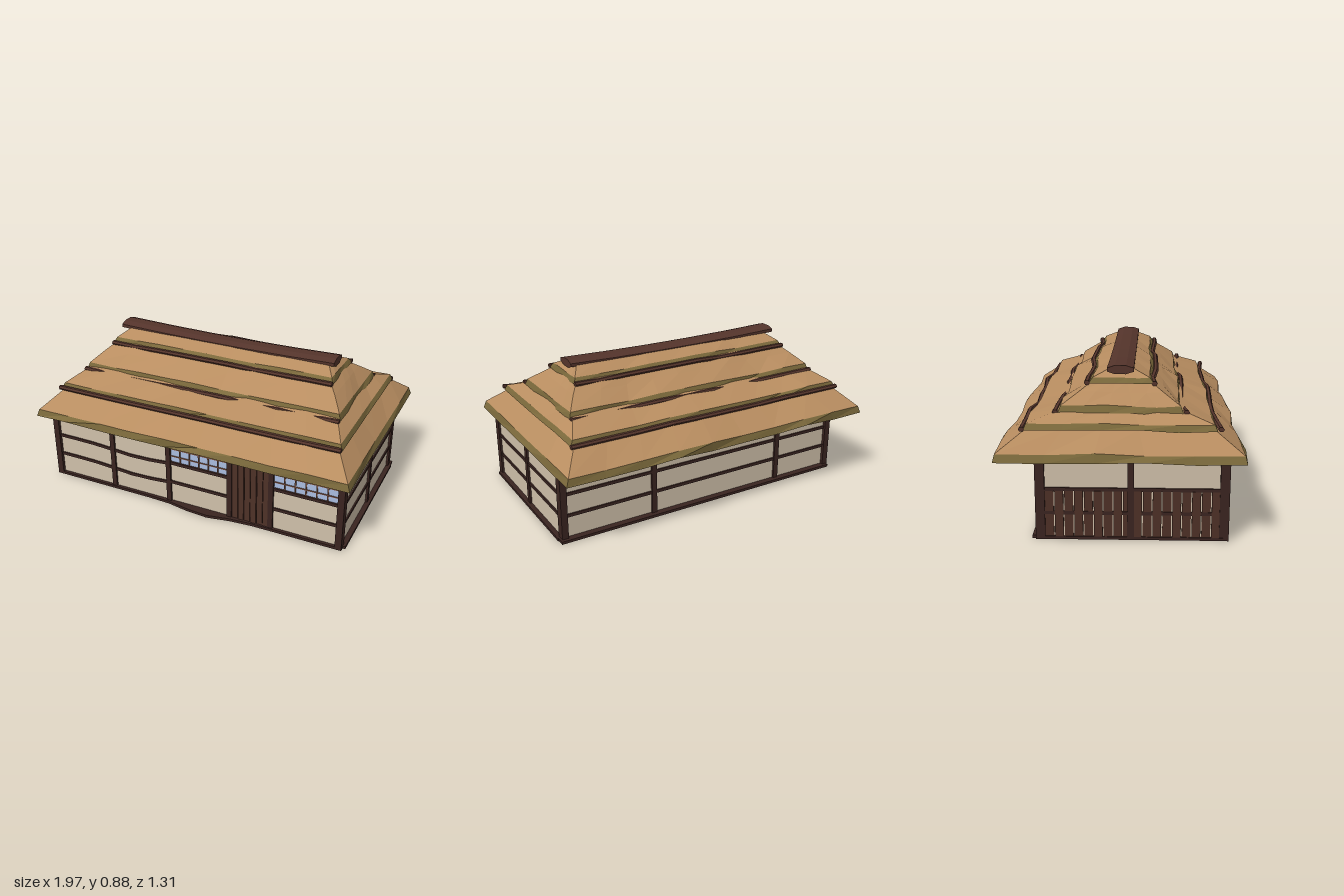
import * as THREE from 'three';

const mat = (color) => new THREE.MeshStandardMaterial({ color, flatShading: true, side: THREE.DoubleSide });

const ROOF_TIERS = [ // rings from underside to top: [half x, half z, y, waviness]
  [[0, 0, 0.445, 0], [0.98, 0.64, 0.43, 1], [0.965, 0.63, 0.472, 0.7], [0.86, 0.48, 0.58, 0.3]],
  [[0.8, 0.4, 0.57, 0], [0.885, 0.495, 0.575, 0.7], [0.87, 0.482, 0.606, 0.5], [0.79, 0.31, 0.665, 0.3]],
  [[0.72, 0.24, 0.65, 0], [0.812, 0.325, 0.645, 0.8], [0.8, 0.31, 0.685, 0.6], [0.74, 0.22, 0.745, 0.4], [0.69, 0.155, 0.79, 0.2]],
  [[0.62, 0.1, 0.78, 0], [0.71, 0.172, 0.782, 0.7], [0.695, 0.15, 0.812, 0.5], [0.64, 0.055, 0.855, 0]],
];

// Hand-laid unevenness along a length
const wave = (t, seed) => 0.011 * Math.sin(t * 7 + seed * 2.3) + 0.007 * Math.sin(t * 15 + seed * 4.1);

// One rectangular ring of points, running anticlockwise seen from above
function ring([hx, hz, y, amp], seed) {
  const corners = [[-1, 1], [1, 1], [1, -1], [-1, -1]];
  const points = [];
  corners.forEach(([ax, az], side) => {
    const [bx, bz] = corners[(side + 1) % 4];
    const n = side % 2 ? 5 : 9;
    for (let i = 0; i < n; i++) {
      const x = THREE.MathUtils.lerp(ax, bx, i / n) * hx;
      const z = THREE.MathUtils.lerp(az, bz, i / n) * hz;
      const t = side % 2 ? z : x;
      const w = i ? amp * wave(t, seed + side) : 0;
      points.push([x + (side % 2 ? ax * w * 0.5 : 0), y + w * 0.9, z + (side % 2 ? 0 : az * w)]);
    }
  });
  return points;
}

// Faceted band between two rings
function band(lower, upper) {
  const pos = [];
  lower.forEach((a, i) => {
    const j = (i + 1) % lower.length;
    pos.push(...a, ...lower[j], ...upper[j], ...a, ...upper[j], ...upper[i]);
  });
  const geometry = new THREE.BufferGeometry();
  geometry.setAttribute('position', new THREE.Float32BufferAttribute(pos, 3));
  geometry.computeVertexNormals();
  return geometry;
}

// Move every vertex by a rule
function bend(geometry, rule) {
  const p = geometry.attributes.position;
  const v = new THREE.Vector3();
  for (let i = 0; i < p.count; i++) {
    rule(v.fromBufferAttribute(p, i));
    p.setXYZ(i, v.x, v.y, v.z);
  }
  geometry.computeVertexNormals();
  return geometry;
}

export function createModel() {
  const house = new THREE.Group();
  house.name = 'thatchedHouse';
  const thatch = mat(0xb88d60), thatchEdge = mat(0x7c6a3c), underside = mat(0x6a5238);
  const timber = mat(0x3a2420), plank = mat(0x4e3127), ridgeWood = mat(0x54342b);
  const plaster = mat(0xd0c0aa), paper = mat(0xaabde0), lattice = mat(0x7a5140);

  const add = (name, geometry, material, parent = house) => {
    const mesh = new THREE.Mesh(geometry, material);
    mesh.name = name;
    parent.add(mesh);
    return mesh;
  };
  // Box given by its extents
  const box = (name, material, x0, x1, y0, y1, z0, z1, parent = house) => {
    const g = new THREE.BoxGeometry(x1 - x0, y1 - y0, z1 - z0);
    g.translate((x0 + x1) / 2, (y0 + y1) / 2, (z0 + z1) / 2);
    return add(name, g, material, parent);
  };
  const group = (name) => {
    const g = new THREE.Group();
    g.name = name;
    house.add(g);
    return g;
  };

  const L = -0.908, R = 0.918, F = 0.537, B = -0.412, TOP = 0.45;

  // Plaster walls
  const walls = group('walls');
  const t = 0.006;
  box('backWall', plaster, L, R, 0, TOP, B - t, B + t, walls);
  box('rightEndWall', plaster, L - t, L + t, 0, TOP, B, F, walls);
  box('leftEndWall', plaster, R - t, R + t, 0, TOP, B, F, walls);
  box('frontWall', plaster, L, -0.13, 0, TOP, F - t, F + t, walls);
  box('wallBelowWindow', plaster, -0.13, 0.27, 0, 0.27, F - t, F + t, walls);
  box('wallBelowWindow', plaster, 0.51, R, 0, 0.27, F - t, F + t, walls);

  // Posts
  const posts = group('posts');
  const post = (x, z, hx, hz) => box('post', timber, x - hx, x + hx, 0, TOP, z - hz, z + hz, posts);
  for (const x of [L, R]) {
    for (const z of [F, B]) post(x, z, 0.019, 0.025);
    post(x, 0.055, 0.018, 0.017);
  }
  for (const x of [-0.51, -0.13, 0.262, 0.515]) post(x, F, 0.015, 0.018);
  for (const x of [-0.51, 0.36]) post(x, B, 0.016, 0.018);

  // Rails at two heights, slightly crooked on the front left bays
  const rails = group('rails');
  const rail = (y, x0, x1, z, crook = 0) => {
    const g = new THREE.BoxGeometry(x1 - x0, 0.018, 0.028, 6, 1, 1);
    g.translate((x0 + x1) / 2, y, z);
    add('rail', bend(g, (v) => { v.y -= crook * Math.exp(-(((v.x + 0.35) / 0.2) ** 2)); }), timber, rails);
  };
  for (const y of [0.145, 0.273]) {
    rail(y, L, -0.13, F, 0.02);
    rail(y, -0.13, 0.26, F);
    rail(y, 0.515, R, F);
    rail(y, L, R, B);
    for (const x of [L, R]) box('endRail', timber, x - 0.014, x + 0.014, y - 0.009, y + 0.009, B, F, rails);
  }

  // Ground sills, the front one bulging out near the door
  const sills = group('sills');
  const sill = new THREE.BoxGeometry(R - L + 0.04, 0.016, 0.05, 14, 1, 1);
  sill.translate((L + R) / 2, 0.008, F);
  add('frontSill', bend(sill, (v) => {
    if (v.z > F) v.z += 0.04 * Math.exp(-(((v.x - 0.1) / 0.16) ** 2));
  }), timber, sills);
  box('backSill', timber, L - 0.01, R + 0.03, 0, 0.016, B - 0.045, B + 0.02, sills);
  box('rightEndSill', timber, L - 0.018, L + 0.02, 0, 0.016, B, F, sills);
  box('leftEndSill', timber, R - 0.02, R + 0.035, 0, 0.016, B, F, sills);

  // Plank door
  const door = group('door');
  box('doorBacking', timber, 0.27, 0.51, 0.01, TOP, F - 0.01, F + 0.004, door);
  for (let i = 0; i < 6; i++) {
    const x = 0.279 + i * 0.038;
    box('doorPlank', plank, x, x + 0.034, 0.015, TOP, F - 0.014, F + 0.012 + (i % 2) * 0.003, door);
  }

  // Lattice windows
  for (const [x0, x1] of [[-0.115, 0.247], [0.53, 0.9]]) {
    const win = group('window');
    box('windowPaper', paper, x0, x1, 0.275, TOP, F - 0.003, F + 0.003, win);
    for (let i = 1; i < 6; i++) {
      const x = x0 + ((x1 - x0) * i) / 6;
      box('verticalBar', lattice, x - 0.0035, x + 0.0035, 0.275, TOP, F - 0.009, F + 0.009, win);
    }
    for (const y of [0.318, 0.365, 0.412]) box('crossBar', lattice, x0, x1, y - 0.003, y + 0.003, F - 0.008, F + 0.008, win);
  }

  // Boarded lower half of one end wall
  const boards = group('endBoards');
  for (let i = 0; i < 18; i++) {
    const z = B + 0.025 + i * 0.0505;
    box('endBoard', plank, L - 0.012 - (i % 2) * 0.003, L - 0.004, 0.012, 0.265, z, z + 0.045, boards);
  }

  // Thatched roof in four overlapping tiers
  const roof = group('roof');
  ROOF_TIERS.forEach((rows, k) => {
    const rings = rows.map((row, i) => ring(row, k * 3 + i * 0.35));
    for (let i = 0; i < rings.length - 1; i++) {
      const name = ['tierUnderside', 'tierEdge'][i] || 'tierSlope';
      const material = [k ? thatchEdge : underside, thatchEdge][i] || thatch;
      add(name, band(rings[i], rings[i + 1]), material, roof);
    }
    if (!k) return;
    // Wooden battens under the front and back edges
    const [hx, hz, y] = rows[1];
    for (const s of [1, -1]) {
      const g = new THREE.CylinderGeometry(0.016, 0.016, hx * 2, 6, 9);
      g.rotateZ(Math.PI / 2);
      const seed = k * 3 + 0.35 + (s > 0 ? 0 : 2);
      add('batten', bend(g, (v) => {
        const w = 0.8 * wave(v.x, seed);
        v.y = v.y * 0.85 + y + 0.003 + w * 0.7;
        v.z += s * (hz + 0.006 + w);
      }), ridgeWood, roof);
    }
  });

  // Sagging eight-sided ridge log
  const ridge = new THREE.CylinderGeometry(1, 1, 1.39, 8, 5);
  ridge.rotateY(Math.PI / 8).rotateZ(Math.PI / 2);
  add('ridgeBeam', bend(ridge, (v) => {
    v.x -= 0.015;
    v.y = v.y * 0.025 + 0.843 + 0.012 * (v.x / 0.7) ** 2;
    v.z = v.z * 0.076 + 0.006 * v.x;
  }), ridgeWood, roof);

  return house;
}
